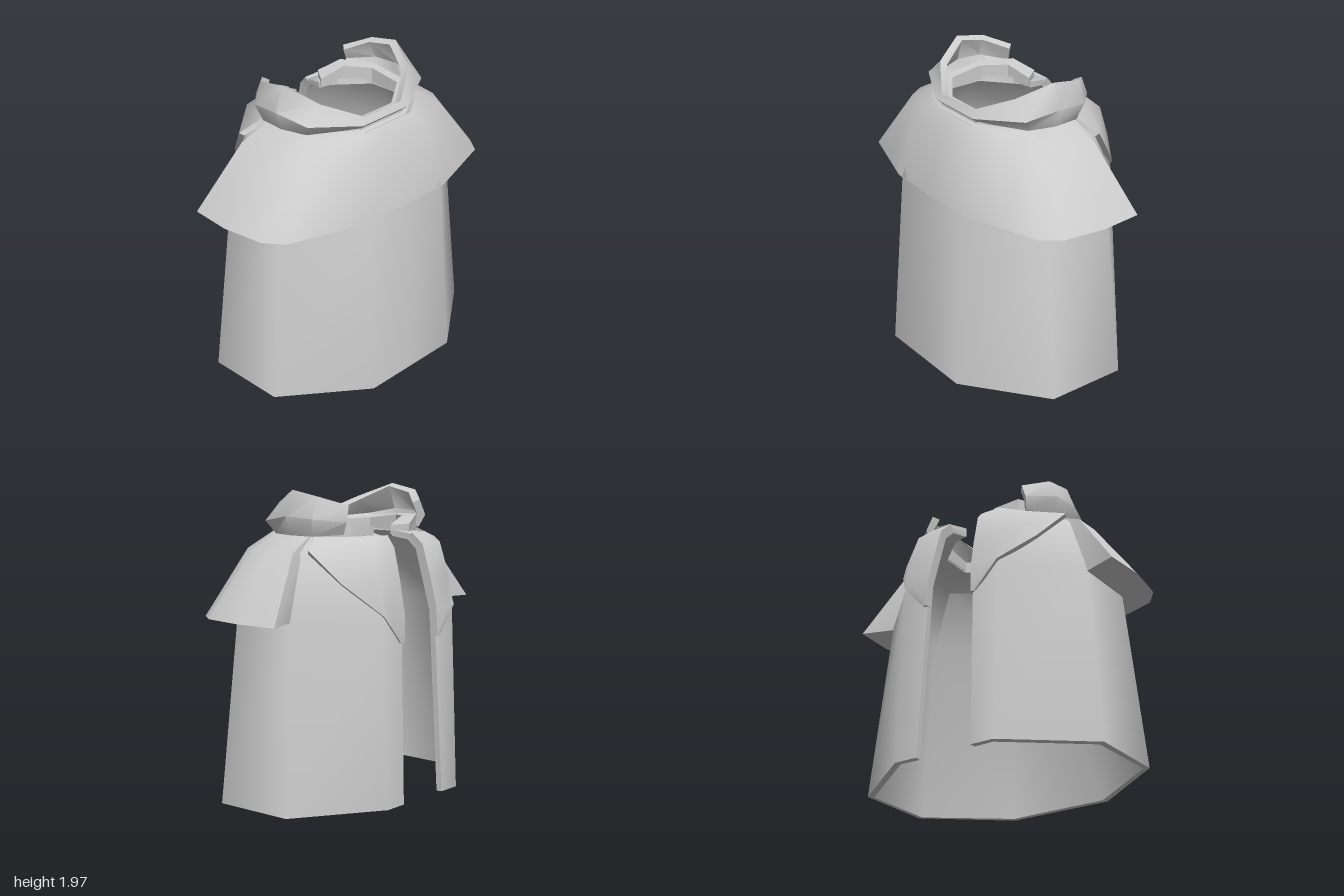
import * as THREE from 'three';
import { toCreasedNormals } from 'three/addons/utils/BufferGeometryUtils.js';

const grey = new THREE.MeshStandardMaterial({ color: 0xcccccc, side: THREE.DoubleSide });

// Row listed from the front centre to the left back; returns the full row, right back to left back
const mirrorRow = (row) => [...row.slice(1).reverse().map(([x, y, z]) => [-x, y, z]), ...row];
// Row of [x, z] pairs at one height
const level = (y, pairs) => pairs.map(([x, z]) => [x, y, z]);

// Indices of a grid of rows (bottom first) and columns (left to right seen from outside)
function gridIndex(rows, cols) {
  const index = [];
  for (let r = 0; r < rows - 1; r++) {
    for (let c = 0; c < cols - 1; c++) {
      const a = r * cols + c, b = a + 1, d = a + cols, e = d + 1;
      index.push(a, b, e, a, e, d);
    }
  }
  return index;
}

// Cloth with an outer face, an inner face and closed rims.
// inner is either a thickness or a matching grid of rows.
function cloth(name, rows, inner, crease = 1.0) {
  const R = rows.length, C = rows[0].length, N = R * C;
  const outer = rows.flat(2);
  const index = gridIndex(R, C);
  let back;
  if (typeof inner === 'number') {
    const g = new THREE.BufferGeometry();
    g.setAttribute('position', new THREE.Float32BufferAttribute(outer, 3));
    g.setIndex(index);
    g.computeVertexNormals();
    const n = g.attributes.normal.array;
    back = outer.map((v, i) => (i % 3 === 1 ? Math.max(0, v - n[i] * inner) : v - n[i] * inner));
  } else {
    back = inner.flat(2);
  }
  const all = [...index];
  for (let i = 0; i < index.length; i += 3) all.push(index[i] + N, index[i + 2] + N, index[i + 1] + N);
  // walk the border and join the two faces
  const rim = [];
  for (let c = 0; c < C - 1; c++) rim.push(c);
  for (let r = 0; r < R - 1; r++) rim.push(r * C + C - 1);
  for (let c = C - 1; c > 0; c--) rim.push((R - 1) * C + c);
  for (let r = R - 1; r > 0; r--) rim.push(r * C);
  rim.forEach((a, i) => {
    const b = rim[(i + 1) % rim.length];
    all.push(a, a + N, b + N, a, b + N, b);
  });
  const geo = new THREE.BufferGeometry();
  geo.setAttribute('position', new THREE.Float32BufferAttribute([...outer, ...back], 3));
  geo.setIndex(all);
  const mesh = new THREE.Mesh(toCreasedNormals(geo, crease), grey);
  mesh.name = name;
  return mesh;
}

export function createModel() {
  const group = new THREE.Group();
  group.name = 'cloak';

  // Robe: eight-sided bell, open down the back
  const hem = [[0, 0, 0.65], [0.36, 0, 0.65], [0.88, 0.01, 0.27], [0.88, 0.01, -0.27], [0.36, 0.02, -0.65], [0.2, 0.02, -0.65]];
  const robe = [
    hem,
    level(1.2, [[0, 0.57], [0.32, 0.57], [0.76, 0.23], [0.76, -0.22], [0.36, -0.6], [0.17, -0.6]]),
    level(1.6, [[0, 0.46], [0.26, 0.46], [0.62, 0.2], [0.62, -0.2], [0.32, -0.5], [0.15, -0.5]]),
    level(1.68, [[0, 0.36], [0.2, 0.36], [0.5, 0.16], [0.5, -0.16], [0.25, -0.43], [0.13, -0.43]]),
    level(1.7, [[0, 0.29], [0.16, 0.29], [0.41, 0.11], [0.41, -0.11], [0.18, -0.31], [0.11, -0.31]]),
  ];
  group.add(cloth('robe', robe.map(mirrorRow), 0.04));

  // Shoulder cape: flares over the front and sides, underside closed onto the robe
  const cape = [
    level(1.19, [[0, 0.58], [0.36, 0.57], [0.6, 0.49], [0.87, 0.4], [0.96, 0.28], [1, 0], [0.98, -0.28]]),
    level(1.6, [[0, 0.475], [0.28, 0.475], [0.46, 0.39], [0.6, 0.29], [0.67, 0.18], [0.7, 0], [0.69, -0.17]]),
    level(1.69, [[0, 0.4], [0.2, 0.4], [0.34, 0.31], [0.45, 0.22], [0.5, 0.14], [0.52, 0], [0.5, -0.14]]),
  ];
  const capeLining = [
    level(1.19, [[0, 0.55], [0.31, 0.55], [0.5, 0.41], [0.65, 0.3], [0.74, 0.22], [0.74, 0], [0.74, -0.2]]),
    level(1.59, [[0, 0.44], [0.25, 0.44], [0.4, 0.34], [0.52, 0.25], [0.6, 0.18], [0.6, 0], [0.6, -0.17]]),
    level(1.66, [[0, 0.35], [0.19, 0.35], [0.3, 0.27], [0.4, 0.2], [0.48, 0.13], [0.48, 0], [0.48, -0.14]]),
  ];
  group.add(cloth('shoulderCape', cape.map(mirrorRow), capeLining.map(mirrorRow)));

  // Lapels: pointed flaps lying on both sides of the back opening
  const lapel = [
    level(1.04, [[0.2, -0.62], [0.19, -0.625], [0.17, -0.625]]),
    level(1.22, [[0.36, -0.615], [0.3, -0.62], [0.165, -0.62]]),
    level(1.42, [[0.53, -0.42], [0.35, -0.575], [0.155, -0.575]]),
    level(1.62, [[0.64, -0.25], [0.33, -0.52], [0.145, -0.52]]),
    level(1.69, [[0.5, -0.19], [0.26, -0.45], [0.125, -0.45]]),
  ];
  group.add(cloth('leftLapel', lapel, 0.035));
  group.add(cloth('rightLapel', lapel.map((row) => row.map(([x, y, z]) => [-x, y, z]).reverse()), 0.035));

  // Neck band inside the collar
  const band = [
    level(1.67, [[0, 0.35], [0.19, 0.35], [0.46, 0.15], [0.46, -0.15], [0.33, -0.33], [0.18, -0.38]]),
    [[0, 1.735, 0.34], [0.18, 1.735, 0.34], [0.45, 1.75, 0.14], [0.45, 1.78, -0.14], [0.33, 1.79, -0.33], [0.18, 1.74, -0.39]],
  ];
  const bandLining = [
    level(1.67, [[0, 0.28], [0.16, 0.28], [0.4, 0.11], [0.4, -0.11], [0.28, -0.25], [0.11, -0.29]]),
    [[0, 1.73, 0.28], [0.16, 1.73, 0.28], [0.4, 1.74, 0.11], [0.4, 1.77, -0.11], [0.28, 1.78, -0.25], [0.11, 1.73, -0.29]],
  ];
  group.add(cloth('neckBand', band.map(mirrorRow), bandLining.map(mirrorRow), 0.6));

  // Standing collar: low in front, peaked at the sides, open at the back
  const collar = [
    [[0, 1.69, 0.34], [0.18, 1.69, 0.34], [0.47, 1.69, 0.17], [0.52, 1.69, 0], [0.51, 1.69, -0.17], [0.38, 1.7, -0.31]],
    [[0, 1.73, 0.385], [0.2, 1.73, 0.385], [0.51, 1.77, 0.22], [0.56, 1.81, 0], [0.55, 1.8, -0.2], [0.4, 1.78, -0.35]],
    [[0, 1.77, 0.36], [0.16, 1.77, 0.36], [0.39, 1.88, 0.21], [0.5, 1.97, 0], [0.49, 1.935, -0.2], [0.36, 1.88, -0.335]],
  ];
  group.add(cloth('collar', collar.map(mirrorRow), 0.05, 0.8));

  return group;
}
